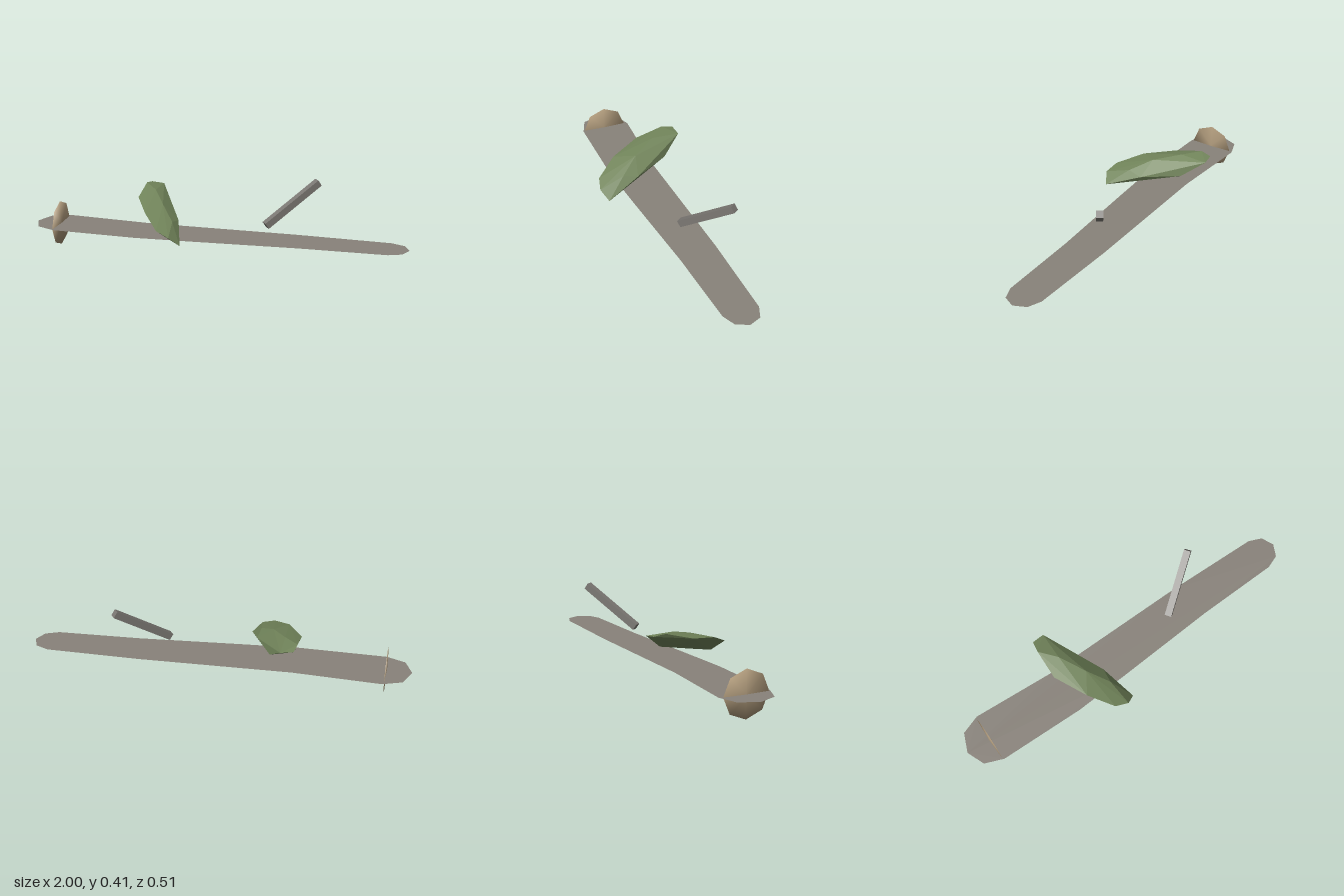
import * as THREE from 'three';
import { ConvexGeometry } from 'three/addons/geometries/ConvexGeometry.js';

const V = (p) => new THREE.Vector3(...p);

export function createModel() {
  const model = new THREE.Group();
  const mat = (name, color, extra = {}) => {
    const m = new THREE.MeshStandardMaterial({ color, ...extra });
    m.name = name;
    return m;
  };
  const bark = mat('grey bark', 0x88827a, { side: THREE.DoubleSide });
  const twigGrey = mat('twig grey', 0x7c7974);
  const wood = mat('pale cut wood', 0xb09b7c);
  const green = mat('moss green', 0x71845a, { flatShading: true });

  const add = (name, geometry, material) => {
    const mesh = new THREE.Mesh(geometry, material);
    mesh.name = name;
    model.add(mesh);
    return mesh;
  };

  // Long flat plank: outline as [x, z], sloping gently down towards +x
  const outline = [
    [-1, 0], [-0.96, 0.095], [-0.86, 0.132], [-0.4, 0.13], [-0.1, 0.105], [0.45, 0.055],
    [0.9, 0.03], [0.97, 0], [1, -0.065], [0.97, -0.13], [0.9, -0.157], [0.4, -0.153],
    [-0.4, -0.122], [-0.86, -0.138], [-0.96, -0.1],
  ];
  const shape = new THREE.Shape(outline.map(([x, z]) => new THREE.Vector2(x, -z)));
  const plank = new THREE.ShapeGeometry(shape).rotateX(-Math.PI / 2);
  const pos = plank.attributes.position;
  for (let i = 0; i < pos.count; i++) pos.setY(i, 0.115 - 0.008 * pos.getX(i));
  plank.computeVertexNormals();
  add('plank', plank, bark);

  // Thin eight-sided disc standing across one end, softly shaded towards its rim
  const profile = [[0, -0.005], [0.121, 0], [0, 0.005]].map(([r, y]) => new THREE.Vector2(r, y));
  const disc = add('endDisc', new THREE.LatheGeometry(profile, 8).rotateZ(-Math.PI / 2), wood);
  disc.position.set(-0.868, 0.122, 0.002);

  // Square twig leaning up and back
  const foot = V([0.262, 0.195, -0.02]);
  const tip = V([0.502, 0.395, -0.2]);
  const twig = add('twig', new THREE.BoxGeometry(0.036, 0.036, foot.distanceTo(tip)), twigGrey);
  twig.position.copy(foot).lerp(tip, 0.5);
  twig.lookAt(tip);

  // Faceted tilted leaf: rim, upper ridge and underside points
  const leaf = [
    [-0.13, 0.13, 0.225], [-0.18, 0.178, 0.257], [-0.25, 0.205, 0.24], [-0.345, 0.257, 0.125],
    [-0.435, 0.288, -0.04], [-0.435, 0.328, -0.19], [-0.425, 0.318, -0.25], [-0.36, 0.31, -0.258],
    [-0.29, 0.227, -0.15], [-0.19, 0.205, 0.04],
    [-0.36, 0.315, -0.11], [-0.28, 0.278, 0.02], [-0.2, 0.22, 0.12],
    [-0.37, 0.25, -0.08], [-0.23, 0.178, 0.06],
  ];
  add('leaf', new ConvexGeometry(leaf.map(V)), green);

  return model;
}
